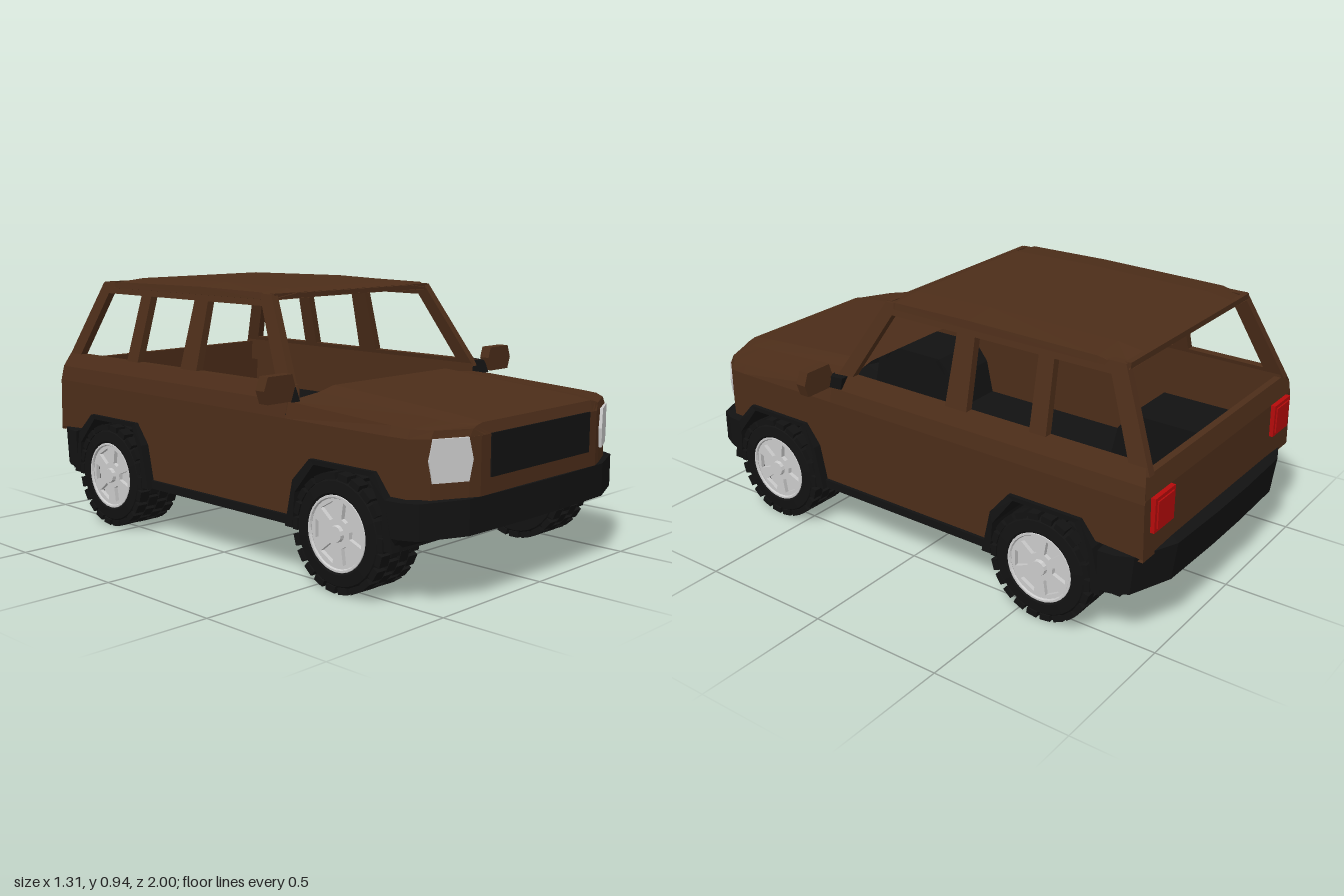
import * as THREE from 'three';

const mat = (color, flatShading = true) =>
  new THREE.MeshStandardMaterial({ color, flatShading, side: THREE.DoubleSide });
const brown = mat(0x4c2d19), black = mat(0x121212), grey = mat(0xcccccc), red = mat(0xb50a0a);

const WHEEL_Y = 0.197, FRONT_Z = 0.615, REAR_Z = -0.59;

function add(group, name, geometry, material, x = 0, y = 0, z = 0) {
  const m = new THREE.Mesh(geometry, material);
  m.name = name;
  m.position.set(x, y, z);
  group.add(m);
  return m;
}

const shapeOf = pts => new THREE.Shape(pts.map(p => new THREE.Vector2(...p)));
const extrude = (shape, depth) => new THREE.ExtrudeGeometry(shape, { depth, bevelEnabled: false });

// Skin through rows of [x, y, z] points
function loft(rows) {
  const n = rows[0].length, idx = [];
  for (let r = 0; r < rows.length - 1; r++)
    for (let i = 0; i < n - 1; i++) {
      const a = r * n + i, b = a + 1, c = a + n, d = c + 1;
      idx.push(a, c, b, b, c, d);
    }
  const g = new THREE.BufferGeometry();
  g.setAttribute('position', new THREE.Float32BufferAttribute(rows.flat(2), 3));
  g.setIndex(idx);
  g.computeVertexNormals();
  return g;
}

// Mirror a half row (outer point first) across x = 0
const mirrorRow = half => [...half, ...half.slice().reverse().map(([x, y, z]) => [-x, y, z])];

// Panel drawn in (z, y), thickened inwards from x = xAt(y)
function sidePanel(pts, depth, xAt, holes = []) {
  const s = shapeOf(pts);
  for (const h of holes) s.holes.push(new THREE.Path(h.map(p => new THREE.Vector2(...p))));
  const g = extrude(s, depth), p = g.attributes.position;
  for (let i = 0; i < p.count; i++) {
    const u = p.getX(i), v = p.getY(i), w = p.getZ(i);
    p.setXYZ(i, xAt(v) - w, v, u);
  }
  g.computeVertexNormals();
  return g;
}

function makeWheel() {
  const wheel = new THREE.Group();
  wheel.name = 'wheel';
  // Tyre carcass, open in the middle, axis along x
  const tyre = new THREE.LatheGeometry([[0.122, 0.085], [0.132, 0.092], [0.17, 0.088], [0.185, 0.07],
    [0.185, -0.07], [0.17, -0.088], [0.06, -0.085], [0.045, -0.06]].map(p => new THREE.Vector2(...p)), 32);
  add(wheel, 'tyre', tyre.rotateZ(-Math.PI / 2), black);
  // Staggered tread blocks
  const count = 22;
  for (let row = 0; row < 4; row++)
    for (let i = 0; i < count; i++) {
      const a = (i + (row % 2) / 2) / count * Math.PI * 2;
      const block = new THREE.BoxGeometry(0.041, 0.022, 0.04);
      block.translate((row - 1.5) * 0.045, 0.185, 0).rotateX(a);
      add(wheel, 'treadBlock', block, black);
    }
  // Rim face with openings between six spokes
  const face = new THREE.Shape().absarc(0, 0, 0.124, 0, Math.PI * 2);
  for (let i = 0; i < 6; i++) {
    const hole = new THREE.Path();
    const a = i * Math.PI / 3, polar = (r, t) => [r * Math.cos(t), r * Math.sin(t)];
    hole.moveTo(...polar(0.05, a - 0.22)).lineTo(...polar(0.104, a - 0.3))
      .lineTo(...polar(0.104, a + 0.3)).lineTo(...polar(0.05, a + 0.22)).closePath();
    face.holes.push(hole);
  }
  add(wheel, 'rimFace', extrude(face, 0.015).rotateY(Math.PI / 2), grey, 0.066);
  const dish = new THREE.CylinderGeometry(0.122, 0.122, 0.01, 28).rotateZ(Math.PI / 2);
  add(wheel, 'rimDish', dish, grey, 0.045);
  const ring = new THREE.TorusGeometry(0.121, 0.007, 6, 32).rotateY(Math.PI / 2);
  add(wheel, 'rimLip', ring, grey, 0.084);
  add(wheel, 'hubCap', new THREE.CylinderGeometry(0.026, 0.03, 0.02, 12).rotateZ(-Math.PI / 2), grey, 0.084);
  add(wheel, 'innerHub', new THREE.CylinderGeometry(0.05, 0.05, 0.02, 16).rotateZ(Math.PI / 2), grey, -0.075);
  return wheel;
}

// Everything on the left (+x) half
function makeSide() {
  const g = new THREE.Group();
  g.name = 'side';
  add(g, 'lowerSidePanel', sidePanel([[0.8, 0.53], [0.8, 0.36], [0.745, 0.405], [0.485, 0.405], [0.42, 0.33],
    [0.395, 0.2], [-0.37, 0.2], [-0.395, 0.33], [-0.46, 0.405], [-0.72, 0.405], [-0.78, 0.35],
    [-0.955, 0.34], [-0.95, 0.53]], 0.03, () => 0.53), brown);
  // Shoulder between side panel and windows
  add(g, 'shoulder', loft([0.35, -0.95].map((z, i) => [[0.53, 0.53, z], [0.52, 0.585, z + i * 0.005],
    [0.495, 0.635, z + i * 0.02], [0.465, 0.635, z + i * 0.02], [0.465, 0.53, z]])), brown);
  // Pillars and window frames
  const xAt = y => 0.495 - (y - 0.62) * 0.26;
  add(g, 'windowFrame', sidePanel([[0.35, 0.61], [0.165, 0.92], [-0.8, 0.92], [-0.945, 0.61]], 0.03, xAt, [
    [[0.27, 0.635], [0.13, 0.88], [-0.155, 0.88], [-0.15, 0.635]],
    [[-0.24, 0.635], [-0.23, 0.88], [-0.485, 0.88], [-0.495, 0.635]],
    [[-0.56, 0.635], [-0.545, 0.88], [-0.755, 0.88], [-0.865, 0.635]]]), brown);
  add(g, 'sill', new THREE.BoxGeometry(0.04, 0.03, 0.8), black, 0.522, 0.195, 0.01);

  for (const z of [FRONT_Z, REAR_Z]) {
    // Arch trim that runs inwards as the wheel housing
    const arch = [[-0.235, 0.18], [-0.2, 0.34], [-0.14, 0.415], [0.14, 0.415], [0.2, 0.34], [0.235, 0.18],
      [0.2, 0.18], [0.19, 0.3], [0.12, 0.399], [-0.12, 0.399], [-0.19, 0.3], [-0.2, 0.18]];
    add(g, 'wheelArch', sidePanel(arch, 0.3, y => y > 0.38 ? 0.545 : 0.562), black, 0, 0, z);
    add(g, 'wheelHousingWall', sidePanel(arch.slice(0, 6), 0.01, () => 0.265), black, 0, 0, z);
    const wheel = makeWheel();
    wheel.position.set(0.475, WHEEL_Y, z);
    g.add(wheel);
  }

  // Headlight on the chamfered corner
  const lamp = add(g, 'headlight', extrude(shapeOf([[-0.06, 0.068], [0.06, 0.068], [0.072, 0],
    [0.06, -0.068], [-0.062, -0.068], [-0.075, 0]]), 0.014), grey, 0.418, 0.463, 0.947);
  lamp.rotation.y = 0.46;
  add(g, 'tailLight', new THREE.BoxGeometry(0.125, 0.12, 0.02), red, 0.428, 0.48, -0.957);
  add(g, 'tailLightLens', new THREE.BoxGeometry(0.1, 0.095, 0.01), red, 0.428, 0.48, -0.967);
  // Door mirror
  add(g, 'mirror', extrude(shapeOf([[0.53, 0.68], [0.638, 0.68], [0.655, 0.635], [0.64, 0.59],
    [0.535, 0.59], [0.517, 0.64]]), 0.04), brown, 0, 0, 0.345);
  add(g, 'mirrorMount', sidePanel([[0.38, 0.585], [0.36, 0.63], [0.29, 0.635], [0.3, 0.59]],
    0.035, () => 0.525), black);
  return g;
}

// Wrap-around bumper; dir is +1 at the front and -1 at the back
function bumper(dir, k, lowY) {
  const plan = [[0.562, 0.81], [0.557, 0.87], [0.53, 0.925], [0.37, 0.992], [0.1, 1]];
  const row = (y, sx, f) => mirrorRow(plan.map(([x, z]) => [x * sx, y, dir * (0.81 + (z - 0.81) * f)]));
  return loft([row(0.35, 0.88, 0.6), row(0.34, 1, 1), row(lowY, 1, dir > 0 ? 1 : 0.9),
    row(0.18, 0.96, k), row(0.18, 0.9, -0.1)]);
}

export function createModel() {
  const car = new THREE.Group();
  car.name = 'offRoadCar';

  const left = makeSide(), right = makeSide();
  left.name = 'leftSide';
  right.name = 'rightSide';
  right.scale.x = -1;
  car.add(left, right);

  // Bonnet: z, half width, shoulder height, centre height
  const bonnet = [[0.35, 0.53, 0.585, 0.617], [0.8, 0.53, 0.562, 0.585], [0.87, 0.525, 0.558, 0.58],
    [0.925, 0.48, 0.555, 0.575], [0.98, 0.36, 0.553, 0.567], [0.993, 0.32, 0.53, 0.53]];
  add(car, 'bonnet', loft(bonnet.map(([z, w, s, c]) => mirrorRow([[w, 0.53, z], [w - 0.015, s, z],
    [Math.min(0.37, w - 0.03), (s + c) / 2, z], [Math.min(0.3, w - 0.05), c, z]]))), brown);
  // Nose below the bonnet edge
  add(car, 'nose', loft([0.53, 0.33].map(y => mirrorRow(bonnet.slice(1).map(([z, w]) => [w, y, z])))), brown);
  add(car, 'grille', new THREE.BoxGeometry(0.545, 0.138, 0.02), black, 0, 0.463, 0.988);
  add(car, 'frontBumper', bumper(1, 0.15, 0.225), black);
  add(car, 'rearBumper', bumper(-1, 0.35, 0.2), black);

  // Roof: z, half width, edge height, centre height
  const roof = [[0.172, 0.405, 0.905, 0.92], [0.12, 0.42, 0.925, 0.935], [-0.2, 0.422, 0.93, 0.943],
    [-0.7, 0.42, 0.925, 0.936], [-0.81, 0.41, 0.905, 0.92]];
  add(car, 'roof', loft(roof.map(([z, w, e, c]) => {
    const half = [[0, 0.905, z], [w - 0.01, 0.9, z], [w + 0.004, 0.902, z], [w, e, z], [0.3, c, z]];
    return mirrorRow(half);
  })), brown);
  add(car, 'roofFrontEdge', new THREE.BoxGeometry(0.81, 0.02, 0.02), brown, 0, 0.912, 0.158);
  add(car, 'roofRearEdge', new THREE.BoxGeometry(0.81, 0.02, 0.02), brown, 0, 0.912, -0.8);

  // Tailgate
  add(car, 'tailgate', loft([[0.33, -0.935], [0.33, -0.955], [0.54, -0.95], [0.61, -0.935], [0.61, -0.91],
    [0.33, -0.925]].map(([y, z]) => [[0.53 - Math.max(0, y - 0.53) * 0.35, y, z],
    [-0.53 + Math.max(0, y - 0.53) * 0.35, y, z]])), brown);

  // Floor with notches for the wheels
  const edge = [[0.53, 0.85], [0.53, 0.815], [0.265, 0.815], [0.265, 0.41], [0.53, 0.41],
    [0.53, -0.385], [0.265, -0.385], [0.265, -0.79], [0.53, -0.79], [0.53, -0.88]];
  const plan = [...edge, ...edge.slice().reverse().map(([x, z]) => [-x, z])].map(([x, z]) => [x, -z]);
  add(car, 'floor', extrude(shapeOf(plan), 0.025).rotateX(-Math.PI / 2), black, 0, 0.18, 0);
  return car;
}
